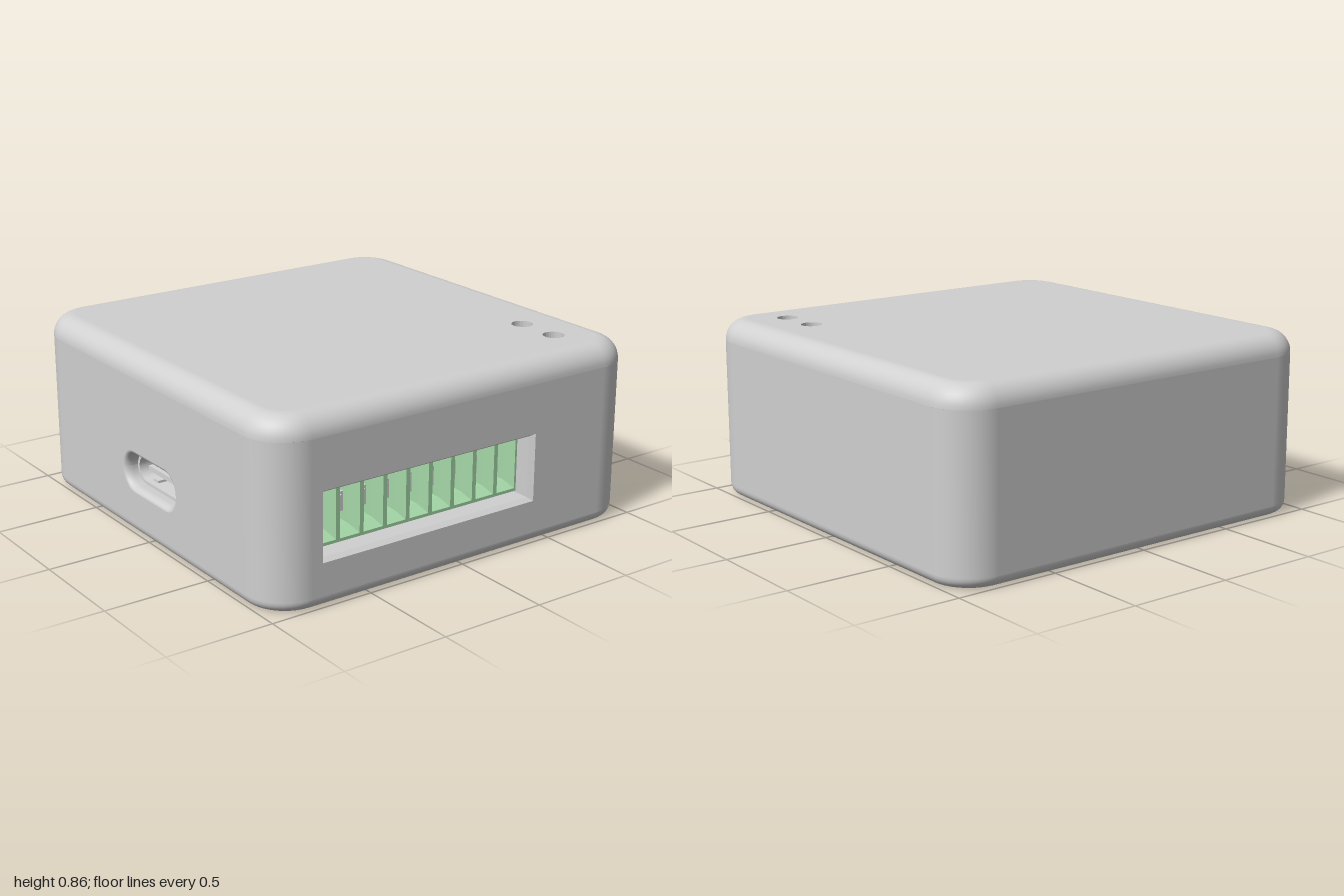
import * as THREE from 'three';

const mat = (name, color, side = THREE.DoubleSide) => {
  const m = new THREE.MeshStandardMaterial({ color, side });
  m.name = name;
  return m;
};

// Rounded rectangle outline, counter-clockwise
function roundRect(hw, hh, r, cx = 0, cy = 0, seg = 10) {
  const pts = [];
  [[1, 1], [-1, 1], [-1, -1], [1, -1]].forEach(([sx, sy], q) => {
    for (let i = 0; i <= seg; i++) {
      const a = (q + i / seg) * Math.PI / 2;
      pts.push(new THREE.Vector2(cx + sx * (hw - r) + r * Math.cos(a), cy + sy * (hh - r) + r * Math.sin(a)));
    }
  });
  return pts;
}
const rect = (hw, hh, cx = 0, cy = 0) =>
  [[1, 1], [-1, 1], [-1, -1], [1, -1]].map(([a, b]) => new THREE.Vector2(cx + a * hw, cy + b * hh));
const circle = (cx, cy, r, n = 24) => Array.from({ length: n }, (_, i) =>
  new THREE.Vector2(cx + r * Math.cos(i / n * 2 * Math.PI), cy + r * Math.sin(i / n * 2 * Math.PI)));

// Skin through closed outlines, each { pts, z }
function loft(loops, flat = false) {
  const n = loops[0].pts.length, pos = [], idx = [];
  loops.forEach(l => l.pts.forEach(p => pos.push(p.x, p.y, l.z)));
  for (let k = 0; k + 1 < loops.length; k++) {
    for (let i = 0; i < n; i++) {
      const a = k * n + i, b = k * n + (i + 1) % n;
      idx.push(a, b, b + n, a, b + n, a + n);
    }
  }
  let g = new THREE.BufferGeometry();
  g.setAttribute('position', new THREE.Float32BufferAttribute(pos, 3));
  g.setIndex(idx);
  if (flat) g = g.toNonIndexed();
  g.computeVertexNormals();
  return g;
}
function plate(outline, holes = [], depth = 0) {
  const s = new THREE.Shape(outline);
  holes.forEach(h => s.holes.push(new THREE.Path(h)));
  return depth ? new THREE.ExtrudeGeometry(s, { depth, bevelEnabled: false }) : new THREE.ShapeGeometry(s);
}

export function createModel() {
  const root = new THREE.Group();
  root.name = 'electronicsCase';
  const shell = mat('caseGrey', 0xd0d0d0);
  const green = mat('terminalGreen', 0xa5d8a8);
  const metal = mat('metalGrey', 0xd6d6d6);
  const dark = mat('boardBlack', 0x1c1c1c);
  const add = (parent, name, geo, m, x = 0, y = 0, z = 0) => {
    const mesh = new THREE.Mesh(geo, m);
    mesh.name = name;
    mesh.position.set(x, y, z);
    parent.add(mesh);
    return mesh;
  };

  const H = 0.855, R = 0.2, topR = 0.1, botR = 0.05, y0 = botR, y1 = H - topR;

  // Rounded top and bottom rims
  const rim = (r, base, dir) => Array.from({ length: 11 }, (_, i) => {
    const a = i / 10 * Math.PI / 2, inset = r * (1 - Math.cos(a));
    return { pts: roundRect(1 - inset, 1 - inset, R - inset), z: base + dir * r * Math.sin(a) };
  });
  add(root, 'topRim', loft(rim(topR, y1, 1)).rotateX(-Math.PI / 2), shell);
  add(root, 'bottomRim', loft(rim(botR, y0, -1).reverse()).rotateX(-Math.PI / 2), shell);

  // Upright corners
  [[1, 1], [1, -1], [-1, -1], [-1, 1]].forEach(([sx, sz], i) =>
    add(root, 'corner', new THREE.CylinderGeometry(R, R, y1 - y0, 12, 1, true, i * Math.PI / 2, Math.PI / 2),
      shell, sx * (1 - R), (y0 + y1) / 2, sz * (1 - R)));

  // Four sides, each built facing +z and turned into place
  const usbX = 0.02, usbY = 0.305, termU = -0.173, termY = 0.362;
  const usbCut = roundRect(0.235, 0.1, 0.1, usbX, usbY);
  const termCut = rect(0.575, 0.16, termU, termY);
  const sides = ['front', 'leftSide', 'back', 'rightSide'].map((name, i) => {
    const g = new THREE.Group();
    g.name = name;
    g.rotation.y = i * Math.PI / 2;
    root.add(g);
    const holes = i === 0 ? [usbCut] : i === 1 ? [termCut] : [];
    add(g, name + 'Wall', plate(rect(1 - R, (y1 - y0) / 2, 0, (y0 + y1) / 2), holes), shell, 0, 0, 1);
    return g;
  });

  // Roof with two indicator holes
  const lights = [[0.525, 0.725], [0.74, 0.725]];
  const roof = plate(roundRect(1 - topR, 1 - topR, R - topR), lights.map(([x, y]) => circle(x, y, 0.05)), 0.08);
  add(root, 'roof', roof.rotateX(-Math.PI / 2), shell, 0, H - 0.08, 0);

  // Floor with screw holes and a honeycomb vent trimmed to a circle
  const vents = [];
  const vx = 0, vz = -0.22, pitch = 0.28, ventR = 0.57;
  for (let j = -2; j <= 2; j++) {
    for (let i = -2; i <= 2; i++) {
      if (Math.abs(i + j) > 2) continue;
      const cx = (i + j / 2) * pitch, cy = j * pitch * 0.866;
      vents.push(Array.from({ length: 6 }, (_, k) => {
        const a = Math.PI / 6 + k * Math.PI / 3;
        return new THREE.Vector2(cx + 0.113 * Math.cos(a), cy + 0.113 * Math.sin(a))
          .clampLength(0, ventR).add(new THREE.Vector2(vx, vz));
      }));
    }
  }
  const screws = [[0.72, -0.7], [-0.72, -0.7], [-0.72, 0.65], [0.55, 0.62]].map(([x, z]) => circle(x, z, 0.065));
  const floor = plate(roundRect(1 - botR, 1 - botR, R - botR), [...vents, ...screws], 0.08);
  add(root, 'ventedFloor', floor.rotateX(Math.PI / 2), shell, 0, 0.08, 0);

  // Circuit board and indicators
  add(root, 'circuitBoard', new THREE.BoxGeometry(1.8, 0.07, 1.8), dark, 0, 0.18, 0);
  add(root, 'indicatorChip', new THREE.BoxGeometry(0.05, 0.2, 0.08), metal, 0.525, 0.31, -0.725);
  add(root, 'indicatorPost', new THREE.CylinderGeometry(0.046, 0.046, 0.46, 24), metal, 0.735, 0.44, -0.725);

  // Charging port: softened opening, metal sleeve and tongue
  const front = sides[0];
  const opening = Array.from({ length: 7 }, (_, i) => {
    const a = i / 6 * Math.PI / 2, k = 0.022 * Math.sin(a);
    return { pts: roundRect(0.235 - k, 0.1 - k, 0.1 - k, usbX, usbY), z: 1 - 0.04 * (1 - Math.cos(a)) };
  });
  opening.push({ pts: opening[6].pts, z: 0.86 });
  add(front, 'portOpening', loft(opening), shell);
  const sleeve = plate(roundRect(0.205, 0.073, 0.073, usbX, usbY), [roundRect(0.19, 0.058, 0.058, usbX, usbY)], 0.3);
  add(front, 'portSleeve', sleeve, metal, 0, 0, 0.64);
  add(front, 'portBack', plate(roundRect(0.19, 0.058, 0.058, usbX, usbY)), metal, 0, 0, 0.72);
  add(front, 'portTongue', new THREE.BoxGeometry(0.28, 0.024, 0.2), metal, usbX, usbY, 0.82);
  for (const sx of [-1, 1]) {
    for (const sy of [-1, 1]) {
      add(front, 'portSpring', new THREE.BoxGeometry(0.045, 0.012, 0.12), metal, usbX + sx * 0.1, usbY + sy * 0.053, 0.85);
    }
  }

  // Terminal strip behind a chamfered window
  const side = sides[1];
  const windowIn = rect(0.557, 0.145, termU, termY);
  add(side, 'terminalWindow', loft([{ pts: termCut, z: 1 }, { pts: windowIn, z: 0.975 }, { pts: windowIn, z: 0.87 }], true), shell);
  const n = 9, cell = 1.106 / n, face = 0.905;
  const mouths = [];
  for (let i = 0; i < n; i++) {
    const u = termU + (i - (n - 1) / 2) * cell;
    const outer = rect(0.051, 0.122, u, termY), inner = rect(0.032, 0.088, u, termY - 0.004);
    mouths.push(outer);
    add(side, 'terminalFunnel', loft([{ pts: outer, z: face }, { pts: inner, z: 0.85 }, { pts: inner, z: 0.77 }], true), green);
    add(side, 'wireClamp', new THREE.BoxGeometry(0.056, 0.09, 0.03), metal, u, termY, 0.8);
    add(side, 'clampTab', new THREE.BoxGeometry(0.024, 0.07, 0.02), metal, u, termY, 0.82);
  }
  const block = rect(0.553, 0.136, termU, termY);
  add(side, 'terminalFace', plate(block, mouths), green, 0, 0, face);
  add(side, 'terminalShell', loft([{ pts: block, z: face }, { pts: block, z: 0.6 }], true), green);
  add(side, 'terminalBack', plate(block), green, 0, 0, 0.77);

  return root;
}
